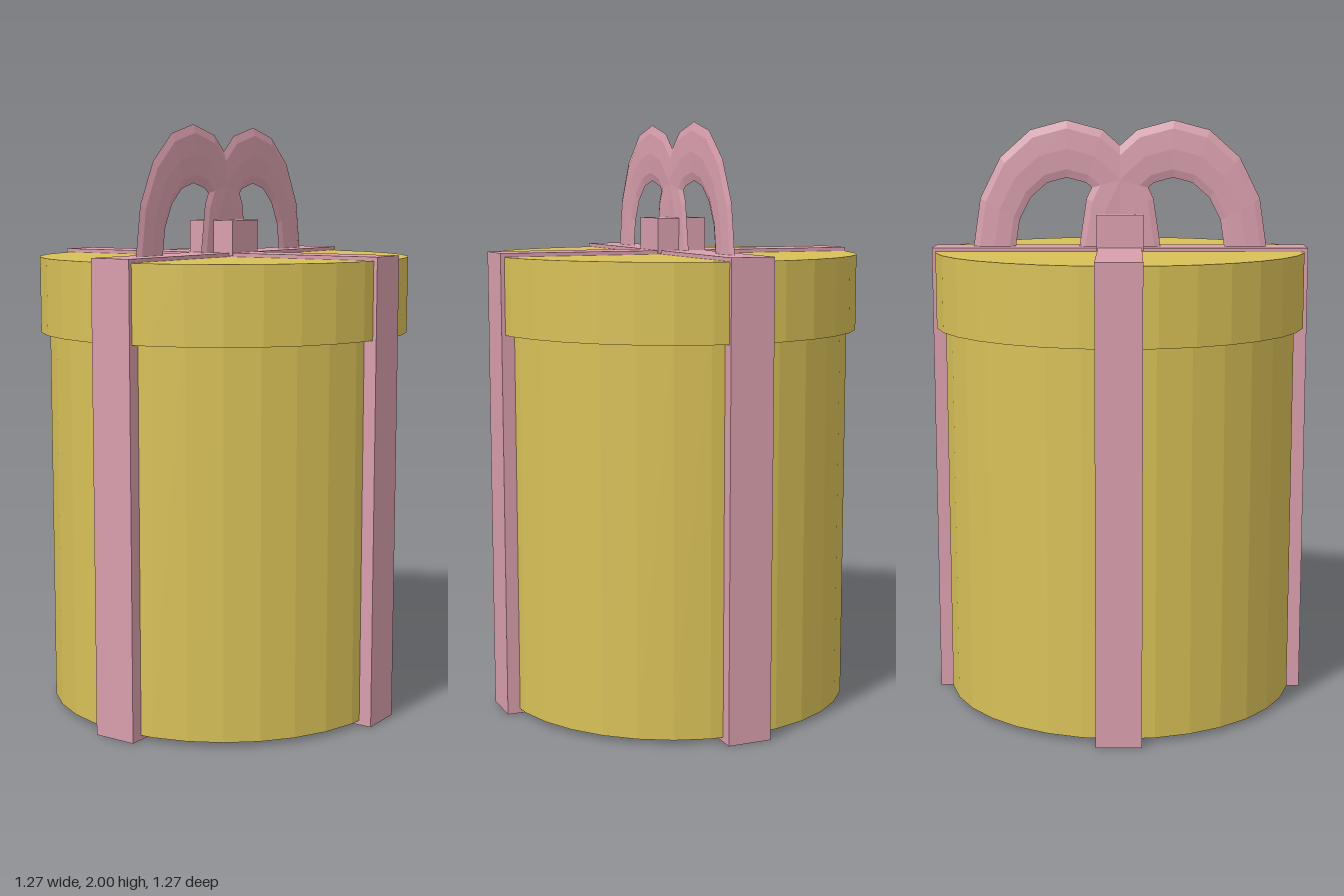
import * as THREE from 'three';

export function createModel() {
  const gold = new THREE.MeshStandardMaterial({ color: 0xd8c057, flatShading: true });
  gold.name = 'gold';
  const pink = new THREE.MeshStandardMaterial({ color: 0xd89eac, flatShading: true });
  pink.name = 'pink ribbon';

  const gift = new THREE.Group();
  gift.name = 'giftBox';

  const add = (name, geometry, material, y) => {
    const mesh = new THREE.Mesh(geometry, material);
    mesh.name = name;
    mesh.position.y = y;
    gift.add(mesh);
    return mesh;
  };
  const drum = (name, radius, y0, y1) =>
    add(name, new THREE.CylinderGeometry(radius, radius, y1 - y0, 32), gold, (y0 + y1) / 2);

  // Round box and its wider lid
  drum('body', 0.606, 0.015, 1.4);
  drum('lid', 0.637, 1.3, 1.557);

  // Two ribbons crossing at right angles, wrapped all the way round
  const ribbonTop = 1.57;
  add('ribbonAcross', new THREE.BoxGeometry(1.285, ribbonTop, 0.15), pink, ribbonTop / 2);
  add('ribbonAlong', new THREE.BoxGeometry(0.15, ribbonTop, 1.285), pink, ribbonTop / 2);

  // Knot
  add('knot', new THREE.BoxGeometry(0.175, 0.12, 0.16), pink, 1.62);

  // Two flat bow loops that overlap in the middle
  for (const side of [1, -1]) {
    const loop = new THREE.TorusGeometry(0.25, 0.073, 8, 8, Math.PI);
    loop.scale(1, 1.33, 0.16);
    loop.rotateY(Math.PI / 2);
    const mesh = add(side > 0 ? 'bowLoopFront' : 'bowLoopBack', loop, pink, ribbonTop);
    mesh.position.z = side * 0.183;
  }

  gift.rotation.y = -0.29;
  const model = new THREE.Group();
  model.name = 'gift';
  model.add(gift);
  return model;
}
